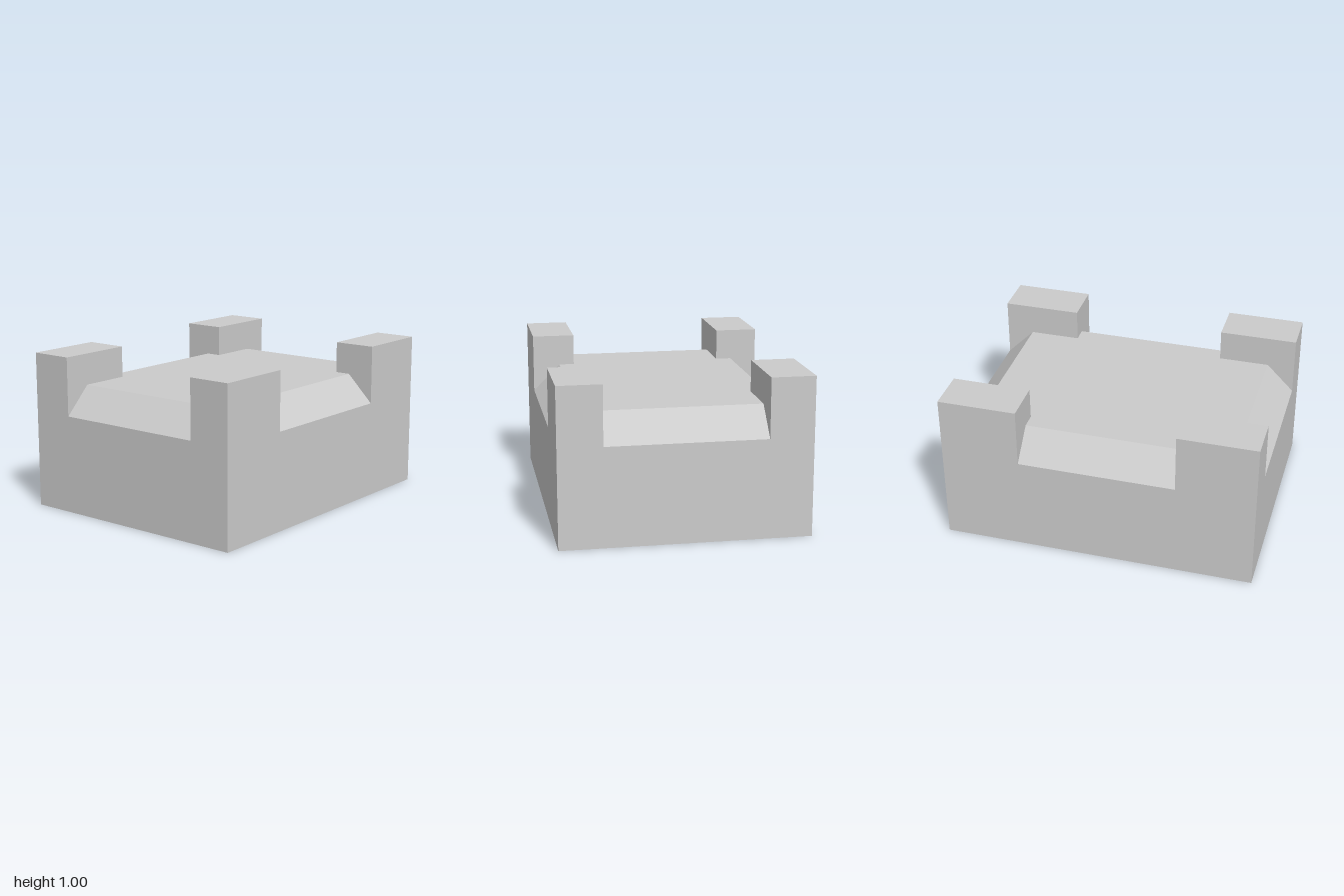
import * as THREE from 'three';

const HALF_X = 1, HALF_Z = 0.775;   // footprint
const TOP = 1, DECK = 0.8, SILL = 0.625; // heights
const NOTCH = 0.5;                  // half width of each gap, and inner face of the corner posts
const INSET = DECK - SILL;          // 45 degree bevel

const material = new THREE.MeshStandardMaterial({ color: 0xcccccc, flatShading: true });

function part(name, geometry, parent) {
  const mesh = new THREE.Mesh(geometry, material);
  mesh.name = name;
  parent.add(mesh);
  return mesh;
}

const polygon = (points) =>
  new THREE.ShapeGeometry(new THREE.Shape(points.map(([x, y]) => new THREE.Vector2(x, y))));

// One side seen from outside: notched wall, sloping sill and the two post cheeks
function createSide(name, halfWidth, distance) {
  const side = new THREE.Group();
  side.name = name;

  const wall = polygon([
    [-halfWidth, 0], [halfWidth, 0], [halfWidth, TOP], [NOTCH, TOP],
    [NOTCH, SILL], [-NOTCH, SILL], [-NOTCH, TOP], [-halfWidth, TOP],
  ]);
  part('wall', wall.translate(0, 0, distance), side);

  const sill = new THREE.PlaneGeometry(2 * NOTCH, INSET * Math.SQRT2).rotateX(-Math.PI / 4);
  part('slopingSill', sill.translate(0, (DECK + SILL) / 2, distance - INSET / 2), side);

  for (const s of [1, -1]) {
    const cheek = polygon([
      [distance, SILL], [distance, TOP], [NOTCH, TOP], [NOTCH, DECK], [distance - INSET, DECK],
    ].map(([u, y]) => [s * u, y]));
    part('postCheek', cheek.rotateY(-s * Math.PI / 2).translate(s * NOTCH, 0, 0), side);
  }
  return side;
}

export function createModel() {
  const model = new THREE.Group();
  model.name = 'notchedBlock';

  // Four sides
  ['front', 'left', 'back', 'right'].forEach((name, i) => {
    const side = i % 2 ? createSide(name + 'Side', HALF_Z, HALF_X) : createSide(name + 'Side', HALF_X, HALF_Z);
    side.rotation.y = i * Math.PI / 2;
    model.add(side);
  });

  // Cross-shaped deck between the posts
  const dx = HALF_X - INSET, dz = HALF_Z - INSET, n = NOTCH;
  const deck = polygon([
    [dx, -n], [dx, n], [n, n], [n, dz], [-n, dz], [-n, n],
    [-dx, n], [-dx, -n], [-n, -n], [-n, -dz], [n, -dz], [n, -n],
  ]);
  part('deck', deck.rotateX(-Math.PI / 2).translate(0, DECK, 0), model);

  // Corner post tops
  for (const sx of [1, -1]) {
    for (const sz of [1, -1]) {
      const cap = new THREE.PlaneGeometry(HALF_X - NOTCH, HALF_Z - NOTCH).rotateX(-Math.PI / 2);
      cap.translate(sx * (HALF_X + NOTCH) / 2, TOP, sz * (HALF_Z + NOTCH) / 2);
      part('postTop', cap, model);
    }
  }

  // Underside
  part('underside', new THREE.PlaneGeometry(2 * HALF_X, 2 * HALF_Z).rotateX(Math.PI / 2), model);

  return model;
}
